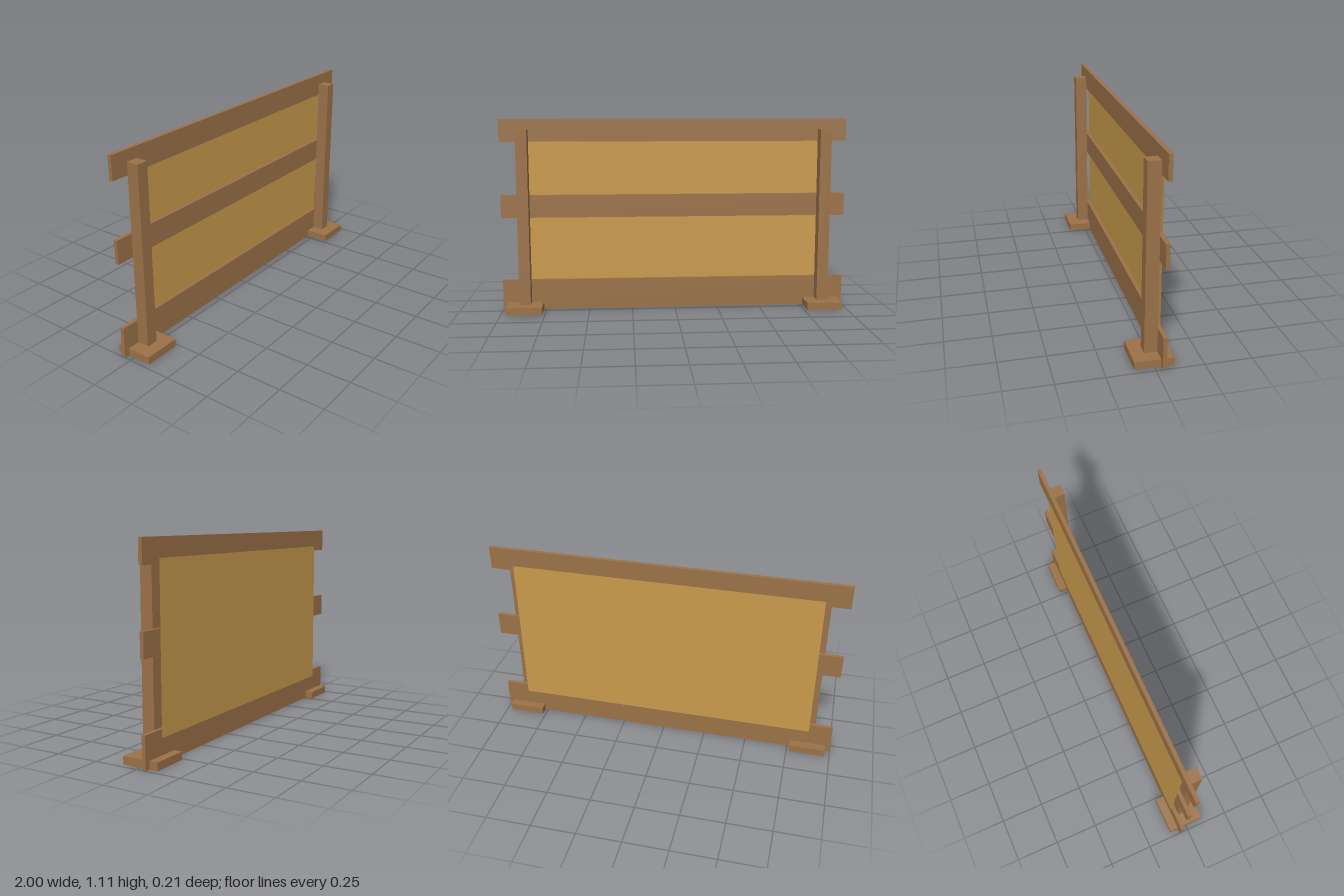
import * as THREE from 'three';

export function createModel() {
  const model = new THREE.Group();
  model.name = 'fencePanel';
  const wood = new THREE.MeshStandardMaterial({ color: 0x9c7248 });
  wood.name = 'brown wood';
  const board = new THREE.MeshStandardMaterial({ color: 0xca9b4c, side: THREE.DoubleSide });
  board.name = 'tan board';

  // Box given by its extents on each axis
  function addBox(name, [x0, x1], [y0, y1], [z0, z1]) {
    const mesh = new THREE.Mesh(new THREE.BoxGeometry(x1 - x0, y1 - y0, z1 - z0), wood);
    mesh.position.set((x0 + x1) / 2, (y0 + y1) / 2, (z0 + z1) / 2);
    mesh.name = name;
    model.add(mesh);
  }

  // Posts on square feet, mirrored left and right
  for (const [side, s] of [['left', 1], ['right', -1]]) {
    const span = (a, b) => (s > 0 ? [a, b] : [-b, -a]);
    addBox(side + 'Foot', span(0.766, 0.971), [0, 0.043], [-0.103, 0.103]);
    addBox(side + 'Post', span(0.835, 0.9), [0.043, 1.045], [-0.034, 0.034]);
  }

  // Horizontal rails fixed behind the posts
  addBox('bottomRail', [-1, 1], [0.001, 0.175], [-0.055, -0.034]);
  addBox('middleRail', [-1, 1], [0.54, 0.67], [-0.055, -0.034]);
  addBox('topRail', [-1, 1], [0.977, 1.106], [-0.055, -0.034]);

  // Thin sheet covering the back of the rails
  const sheet = new THREE.Mesh(new THREE.PlaneGeometry(1.735, 0.875), board);
  sheet.name = 'backSheet';
  sheet.position.set(0, 0.567, -0.0565);
  sheet.rotation.y = Math.PI;
  model.add(sheet);

  return model;
}
